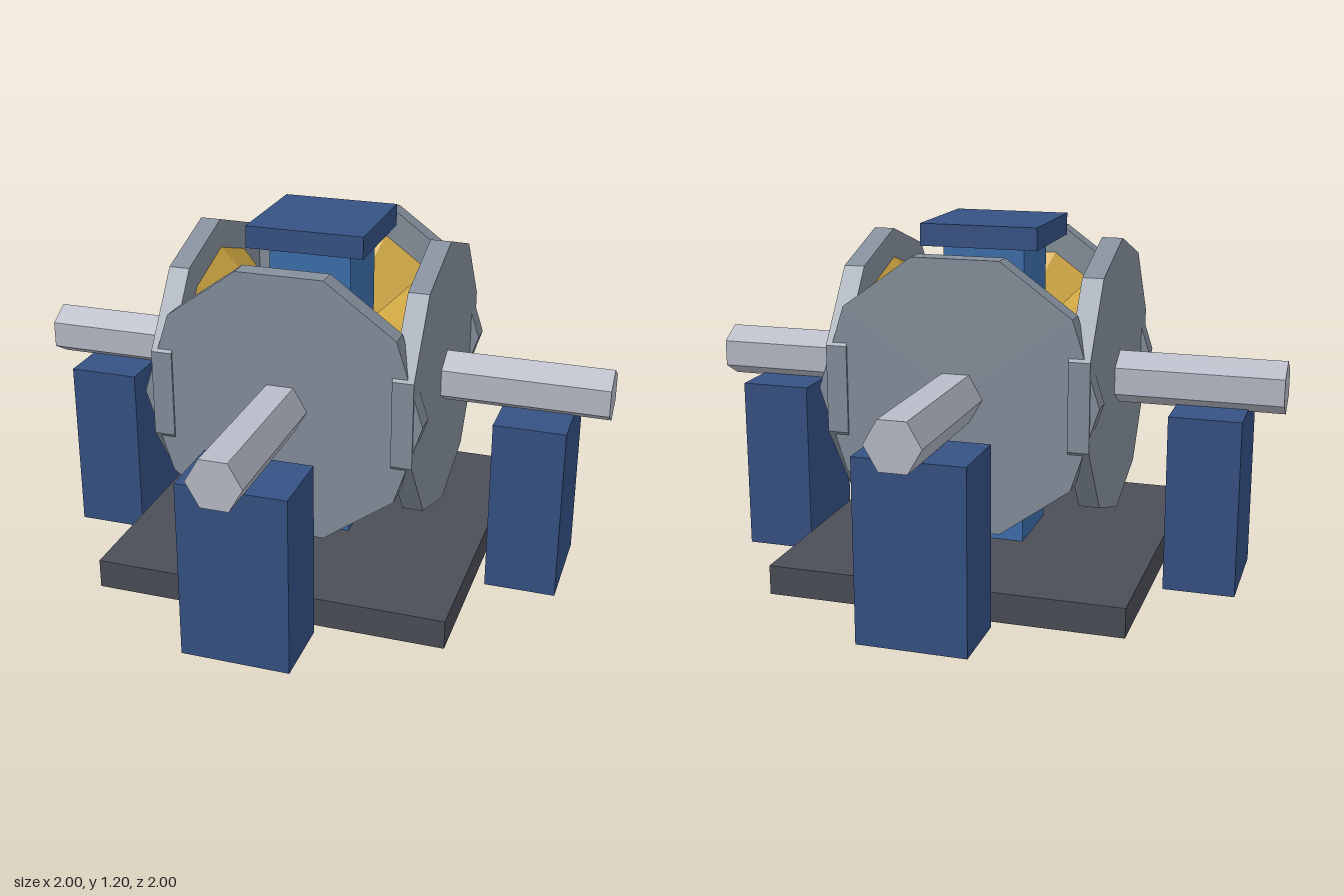
import * as THREE from 'three';

const material = (name, color) => {
  const m = new THREE.MeshStandardMaterial({ color, flatShading: true });
  m.name = name;
  return m;
};

export function createModel() {
  const model = new THREE.Group();
  model.name = 'bevelGearStand';

  const darkGrey = material('dark grey', 0x4b4e57);
  const navy = material('navy blue', 0x365285);
  const blue = material('mid blue', 0x3d70ad);
  const steel = material('steel grey', 0x86909d);
  const silver = material('pale silver', 0xb9bcc8);
  const gold = material('gold', 0xd0a843);

  const axisHeight = 0.68;

  const box = (parent, name, mat, size, x, y, z) => {
    const mesh = new THREE.Mesh(new THREE.BoxGeometry(...size), mat);
    mesh.name = name;
    mesh.position.set(x, y, z);
    parent.add(mesh);
  };

  // Round part lying along +z, from z0 (radius r0) to z1 (radius r1)
  const round = (parent, name, mat, r0, r1, z0, z1, sides) => {
    const geometry = new THREE.CylinderGeometry(r1, r0, z1 - z0, sides);
    geometry.rotateX(Math.PI / 2).translate(0, 0, (z0 + z1) / 2);
    const mesh = new THREE.Mesh(geometry, mat);
    mesh.name = name;
    parent.add(mesh);
  };

  // Base plate, centre column and its cap
  box(model, 'base', darkGrey, [1.2, 0.1, 1.2], 0, 0.05, 0);
  box(model, 'column', blue, [0.28, 1.03, 0.28], 0, 0.61, 0);
  box(model, 'columnCap', navy, [0.4, 0.075, 0.4], 0, 1.1625, 0);

  // Four gears facing the centre, each with a shaft resting on a pillar
  ['front', 'left', 'back', 'right'].forEach((side, i) => {
    const unit = new THREE.Group();
    unit.name = side + 'Unit';
    unit.rotation.y = i * Math.PI / 2;
    box(unit, side + 'Pillar', navy, [0.36, 0.6, 0.24], 0, 0.3, 0.76);

    const gear = new THREE.Group();
    gear.name = side + 'Gear';
    gear.position.y = axisHeight;
    // Front and back gears are rolled a quarter turn so the gears interlock
    gear.rotation.z = i % 2 === 0 ? Math.PI / 2 : 0;
    round(gear, side + 'Cone', gold, 0.1, 0.37, 0.1, 0.37, 10);
    round(gear, side + 'Disc', steel, 0.47, 0.47, 0.37, 0.44, 10);
    round(gear, side + 'Shaft', silver, 0.09, 0.09, 0.4, 1, 6);
    unit.add(gear);
    model.add(unit);
  });

  return model;
}
